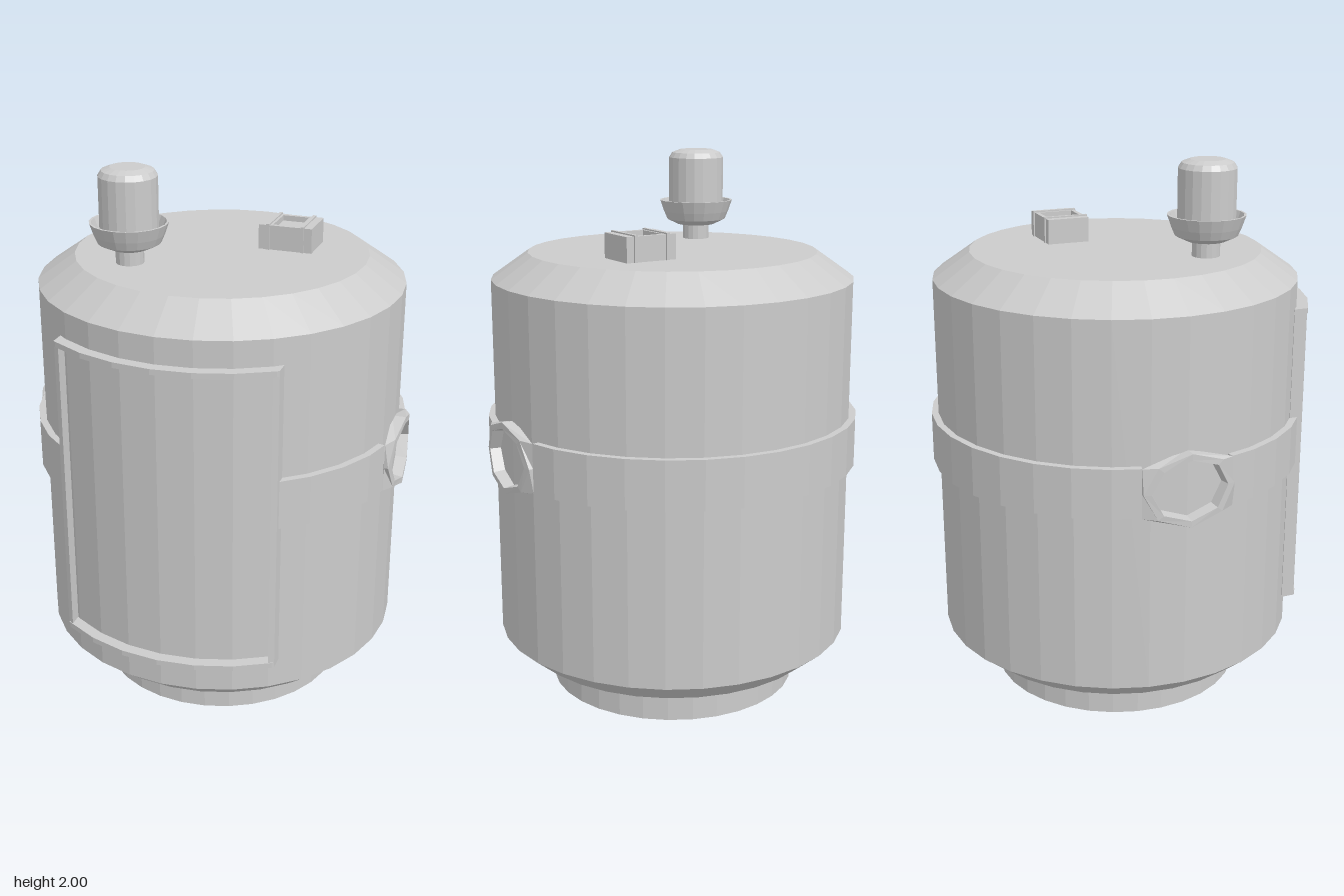
import * as THREE from 'three';

const SIDES = 32, STEP = (Math.PI * 2) / SIDES;
const mat = new THREE.MeshStandardMaterial({ color: 0xcccccc, flatShading: true, side: THREE.DoubleSide });

function add(parent, name, geo, x = 0, y = 0, z = 0) {
  const m = new THREE.Mesh(geo, mat);
  m.name = name;
  m.position.set(x, y, z);
  parent.add(m);
  return m;
}

const lathe = (pts, n) => new THREE.LatheGeometry(pts.map(p => new THREE.Vector2(...p)), n);

// Plan points along a 32-sided rim, angle measured from the front towards +x
function arc(r, a0, a1) {
  const angles = [a0];
  for (let k = Math.ceil(a0 / STEP + 0.01); k * STEP < a1 - 0.01; k++) angles.push(k * STEP);
  angles.push(a1);
  return angles.map(a => {
    const off = a - (Math.floor(a / STEP + 1e-6) + 0.5) * STEP;
    const q = r * Math.cos(STEP / 2) / Math.cos(off);
    return new THREE.Vector2(q * Math.sin(a), -q * Math.cos(a));
  });
}

// Upright prism from a plan outline
function prism(points, y0, y1, hole) {
  const s = new THREE.Shape(points);
  if (hole) s.holes.push(new THREE.Path(hole));
  return new THREE.ExtrudeGeometry(s, { depth: y1 - y0, bevelEnabled: false })
    .rotateX(-Math.PI / 2).translate(0, y0, 0);
}

const slab = (outer, inner, y0, y1) => prism([...outer, ...inner.reverse()], y0, y1);

// Octagonal collar wrapped onto the cylinder, built from nested loops
function portGeometry() {
  const loop = (r, a, b, apron) => Array.from({ length: 8 }, (_, k) => {
    const t = k * Math.PI / 4;
    let z = -a * Math.cos(t), y = b * Math.sin(t), rad = r;
    if (apron && k % 2) { z = Math.sign(z) * a; y = Math.sign(y) * 0.09; }
    if (apron && k % 4 === 2) rad = 0.655;
    return [Math.sqrt(rad * rad - z * z), y, z];
  });
  const loops = [
    loop(0.69, 0.168, 0.133, true),
    loop(0.705, 0.168, 0.133),
    loop(0.705, 0.141, 0.110),
    loop(0.65, 0.130, 0.102),
  ];
  const pos = [];
  for (let i = 0; i < 3; i++) for (let k = 0; k < 8; k++) {
    const n = (k + 1) % 8, [o, q] = [loops[i], loops[i + 1]];
    pos.push(...o[k], ...o[n], ...q[n], ...o[k], ...q[n], ...q[k]);
  }
  const g = new THREE.BufferGeometry();
  g.setAttribute('position', new THREE.Float32BufferAttribute(pos, 3));
  g.computeVertexNormals();
  return g;
}

export function createModel() {
  const model = new THREE.Group();
  model.name = 'tank';
  const tank = new THREE.Group();
  tank.name = 'tankAssembly';
  tank.position.z = -0.01;
  model.add(tank);

  // Drum and foot
  add(tank, 'drum', lathe([[0, 0.14], [0.57, 0.14], [0.665, 0.22], [0.665, 1.565], [0.53, 1.66], [0, 1.66]], SIDES));
  add(tank, 'foot', new THREE.CylinderGeometry(0.467, 0.467, 0.14, SIDES), 0, 0.07, 0);

  // Waist band in three stretches: two beside the door, one around the back
  const door = Math.asin(0.4 / 0.69), half = Math.asin(0.167 / 0.69), quarter = Math.PI / 2;
  const stretches = [
    [door, quarter - half],
    [quarter + half, 3 * quarter - half],
    [3 * quarter + half, 4 * quarter - door],
  ];
  for (const [a, b] of stretches)
    add(tank, 'waistBand', slab(arc(0.69, a, b), arc(0.65, a, b), 0.88, 1.06));

  // Side ports
  for (const [name, turn] of [['leftPort', 0], ['rightPort', Math.PI]])
    add(tank, name, portGeometry(), 0, 0.97, 0).rotation.y = turn;

  // Raised door frame following the curve
  const rail = r => { const a = Math.asin(0.4 / r); return arc(r, -a, a); };
  add(tank, 'doorTopRail', slab(rail(0.707), rail(0.655), 1.45, 1.47));
  add(tank, 'doorBottomRail', slab(rail(0.707), rail(0.655), 0.33, 0.35));
  for (const s of [-1, 1]) {
    const plan = [[0.38, -0.592], [0.40, -0.58], [0.40, -0.53], [0.38, -0.53]];
    add(tank, 'doorSideRail', prism(plan.map(([x, y]) => new THREE.Vector2(s * x, y)), 0.33, 1.47));
  }

  // Beacon lamp: stem, open dish and capped globe
  const lamp = new THREE.Group();
  lamp.name = 'lamp';
  lamp.position.set(-0.257, 0, 0.233);
  model.add(lamp);
  add(lamp, 'lampStem', new THREE.CylinderGeometry(0.05, 0.05, 0.08, 16), 0, 1.69, 0);
  add(lamp, 'lampDish', lathe([[0, 1.712], [0.07, 1.715], [0.112, 1.735], [0.125, 1.765], [0.14, 1.808],
    [0.132, 1.808], [0.115, 1.765], [0.1, 1.745], [0, 1.74]], 20));
  add(lamp, 'lampGlobe', lathe([[0.104, 1.74], [0.104, 1.97], [0.092, 1.989], [0.062, 2], [0, 2]], 20));

  // Small strapped box with a recessed lid
  const box = new THREE.Group();
  box.name = 'roofBox';
  box.position.set(0.217, 0, -0.147);
  model.add(box);
  const rect = (w, d) => [[-w, -d], [w, -d], [w, d], [-w, d]].map(p => new THREE.Vector2(...p));
  add(box, 'boxBase', new THREE.BoxGeometry(0.198, 0.075, 0.156), 0, 1.6925, 0);
  add(box, 'boxRim', prism(rect(0.099, 0.078), 1.73, 1.75, rect(0.049, 0.063)));
  for (const s of [-1, 1])
    add(box, 'boxStrap', new THREE.BoxGeometry(0.012, 0.096, 0.166), s * 0.064, 1.707, 0);
  return model;
}
